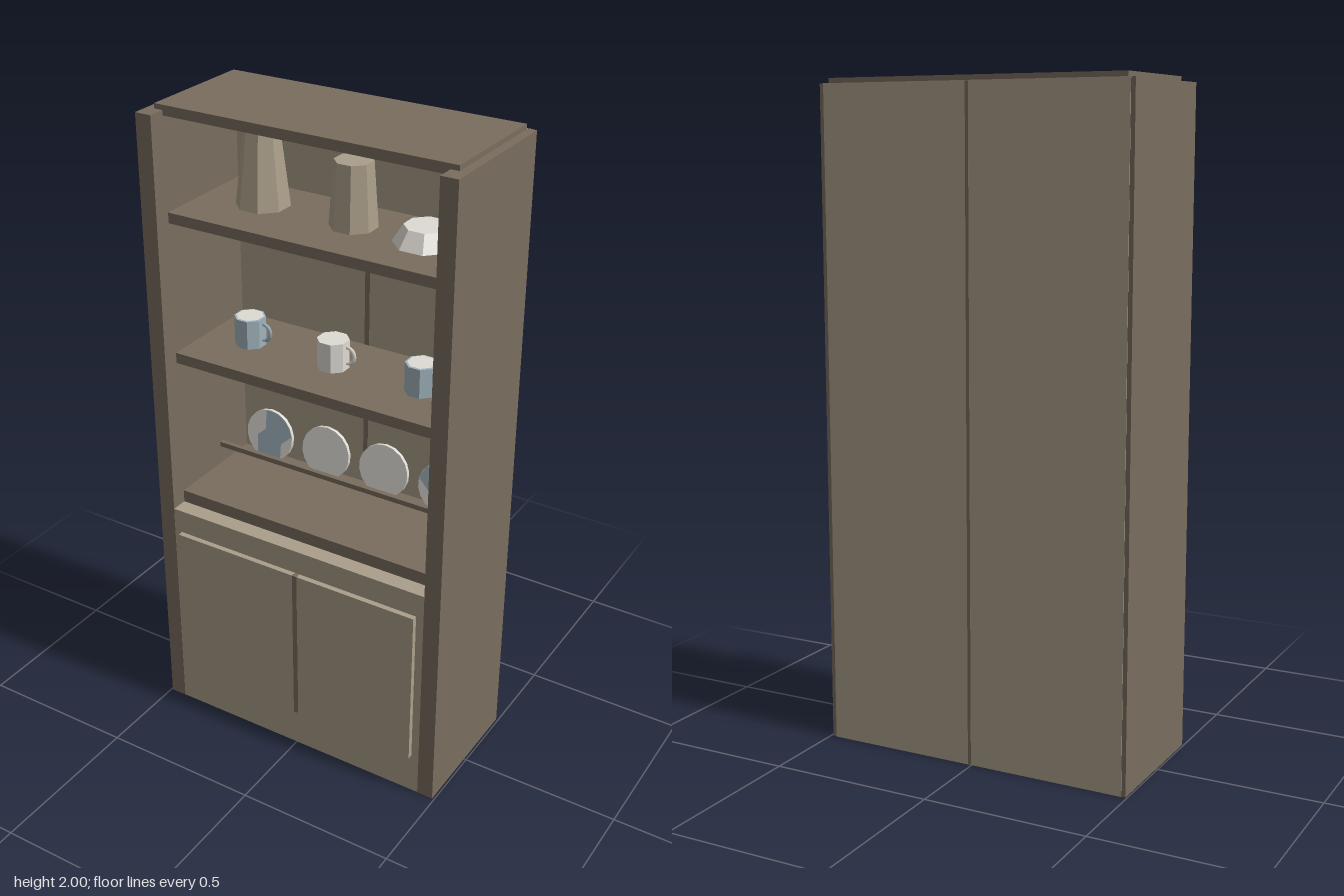
import * as THREE from 'three';

const mat = (name, color) => {
  const m = new THREE.MeshStandardMaterial({ color });
  m.name = name;
  return m;
};

export function createModel() {
  const root = new THREE.Group();
  root.name = 'dresser';
  const darkWood = mat('darkWood', 0x7a6d5e);
  const lightWood = mat('lightWood', 0xab9f8a);
  const white = mat('whiteCeramic', 0xdedbd4);
  const blue = mat('blueCeramic', 0x9fb2bc);

  const add = (name, geometry, material, x = 0, y = 0, z = 0, parent = root) => {
    const mesh = new THREE.Mesh(geometry, material);
    mesh.name = name;
    mesh.position.set(x, y, z);
    parent.add(mesh);
    return mesh;
  };
  // Box given by its extents on each axis
  const box = (name, material, [x0, x1], [y0, y1], [z0, z1]) =>
    add(name, new THREE.BoxGeometry(x1 - x0, y1 - y0, z1 - z0), material,
      (x0 + x1) / 2, (y0 + y1) / 2, (z0 + z1) / 2);
  // Faceted upright solid
  const faceted = (rTop, rBottom, h, sides = 8) => {
    const g = new THREE.CylinderGeometry(rTop, rBottom, h, sides).toNonIndexed();
    g.rotateY(Math.PI / sides);
    g.computeVertexNormals();
    return g;
  };

  // Carcass
  box('rightSide', darkWood, [-0.495, -0.443], [0, 1.985], [-0.226, 0.21]);
  box('leftSide', darkWood, [0.441, 0.493], [0, 1.985], [-0.226, 0.21]);
  box('backPanel', lightWood, [-0.482, 0.48], [0, 1.985], [-0.228, -0.187]);
  box('topBoard', darkWood, [-0.47, 0.467], [1.97, 2], [-0.218, 0.157]);
  box('backSeamInside', darkWood, [0, 0.016], [0.775, 1.97], [-0.188, -0.1862]);
  box('backSeamOutside', darkWood, [0.002, 0.012], [0.002, 1.983], [-0.2286, -0.227]);

  // Lower cupboard with its raised door front
  box('cupboard', lightWood, [-0.443, 0.441], [0, 0.733], [-0.187, 0.209]);
  box('doorFront', lightWood, [-0.418, 0.416], [0.136, 0.656], [0.208, 0.226]);
  box('doorSeam', darkWood, [0.002, 0.018], [0.137, 0.6565], [0.21, 0.2265]);

  // Shelves and plate rail
  for (const [y0, y1] of [[0.733, 0.773], [1.217, 1.25], [1.658, 1.69]])
    box('shelf', darkWood, [-0.443, 0.441], [y0, y1], [-0.187, 0.157]);
  box('plateRail', darkWood, [-0.443, 0.441], [0.834, 0.85], [-0.058, -0.042]);

  // Plates standing against the back, the outer two with a blue patch
  const patch = (side) => {
    const s = new THREE.Shape();
    const pts = [[-0.015, 0.08], [-0.015, 0.018], [-0.043, -0.008], [-0.04, -0.072],
      [0.045, -0.07], [0.045, -0.02], [0.082, 0.015]];
    pts.forEach(([x, y], i) => (i ? s.lineTo(x * side, y) : s.moveTo(x * side, y)));
    s.absarc(0, 0, 0.083, side > 0 ? 0.18 : Math.PI - 0.18,
      side > 0 ? 1.75 : Math.PI - 1.75, side < 0);
    return new THREE.ShapeGeometry(s, 8);
  };
  [-0.315, -0.106, 0.102, 0.31].forEach((x, i) => {
    const plate = new THREE.Group();
    plate.name = 'plate';
    plate.position.set(x, 0.868, -0.14);
    plate.rotation.x = -0.12;
    root.add(plate);
    const disc = new THREE.CylinderGeometry(0.085, 0.085, 0.012, 18);
    disc.rotateX(Math.PI / 2);
    add('plateDisc', disc, white, 0, 0, 0, plate);
    if (i % 3 === 0) add('platePatch', patch(i ? -1 : 1), blue, 0, 0, 0.0075, plate);
  });

  // Mugs with handles on the +x side
  [[-0.293, blue], [-0.003, white], [0.288, blue]].forEach(([x, material]) => {
    const mug = new THREE.Group();
    mug.name = 'mug';
    mug.position.set(x, 1.25, -0.015);
    root.add(mug);
    add('mugBody', faceted(0.048, 0.048, 0.09), material, 0, 0.045, 0, mug);
    const top = new THREE.CircleGeometry(0.042, 8);
    top.rotateX(-Math.PI / 2);
    top.rotateY(Math.PI / 8);
    add('mugInside', top, white, 0, 0.0915, 0, mug);
    const handle = new THREE.TorusGeometry(0.026, 0.006, 5, 8, Math.PI);
    handle.rotateZ(-Math.PI / 2);
    add('mugHandle', handle, material, 0.046, 0.048, 0, mug);
  });

  // Vases and upturned bowl on the top shelf
  add('tallVase', faceted(0.052, 0.08, 0.23), lightWood, -0.253, 1.805, -0.04);
  add('shortVase', faceted(0.056, 0.07, 0.19), lightWood, 0.05, 1.785, -0.035);
  add('bowl', faceted(0.064, 0.094, 0.05), white, 0.279, 1.715, -0.035);

  return root;
}
